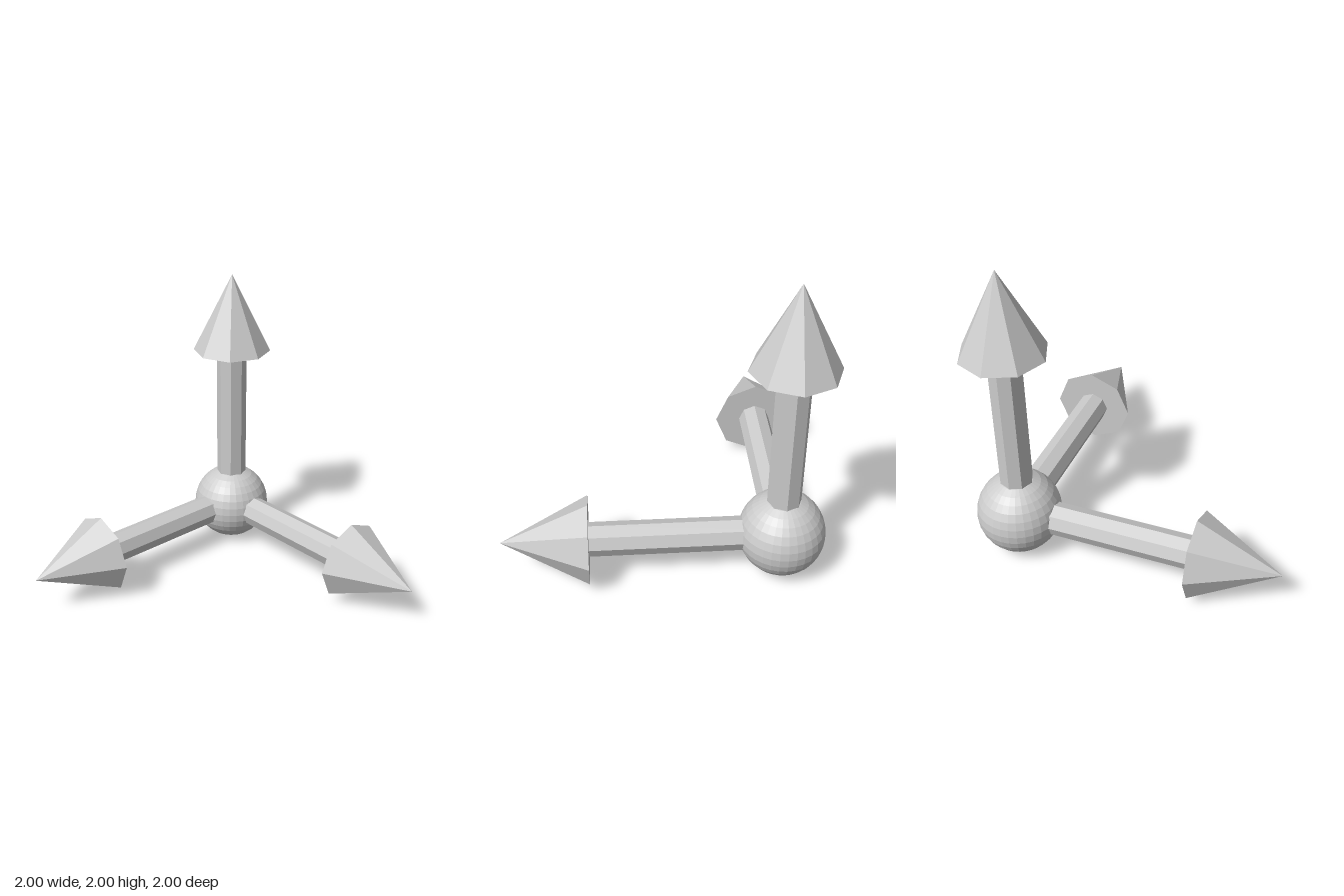
import * as THREE from 'three';

const ORIGIN = -0.73; // x and z of the joint
const RADIUS = 0.27; // ball and arrowhead radius
const HEAD_BASE = 1.19, TIP = 1.73, SHAFT_RADIUS = 0.105;

const material = new THREE.MeshStandardMaterial({ color: 0xcccccc, flatShading: true });

function part(name, geometry, y = 0) {
  const mesh = new THREE.Mesh(geometry, material);
  mesh.name = name;
  mesh.position.y = y;
  return mesh;
}

// Eight-sided arrow pointing along +y from the joint
function makeArrow(name) {
  const arrow = new THREE.Group();
  arrow.name = name;
  const headLength = TIP - HEAD_BASE;
  arrow.add(
    part('shaft', new THREE.CylinderGeometry(SHAFT_RADIUS, SHAFT_RADIUS, HEAD_BASE, 8), HEAD_BASE / 2),
    part('arrowhead', new THREE.ConeGeometry(RADIUS, headLength, 8), HEAD_BASE + headLength / 2)
  );
  return arrow;
}

export function createModel() {
  const model = new THREE.Group();
  model.name = 'axisArrows';

  // Ball joint and the three arrows that leave it at right angles
  const joint = new THREE.Group();
  joint.name = 'joint';
  joint.position.set(ORIGIN, RADIUS, ORIGIN);
  joint.add(part('ball', new THREE.SphereGeometry(RADIUS, 32, 16)));

  const upArrow = makeArrow('upArrow');
  const sideArrow = makeArrow('sideArrow');
  sideArrow.rotation.z = -Math.PI / 2;
  const frontArrow = makeArrow('frontArrow');
  frontArrow.rotation.x = Math.PI / 2;

  joint.add(upArrow, sideArrow, frontArrow);
  model.add(joint);
  return model;
}
